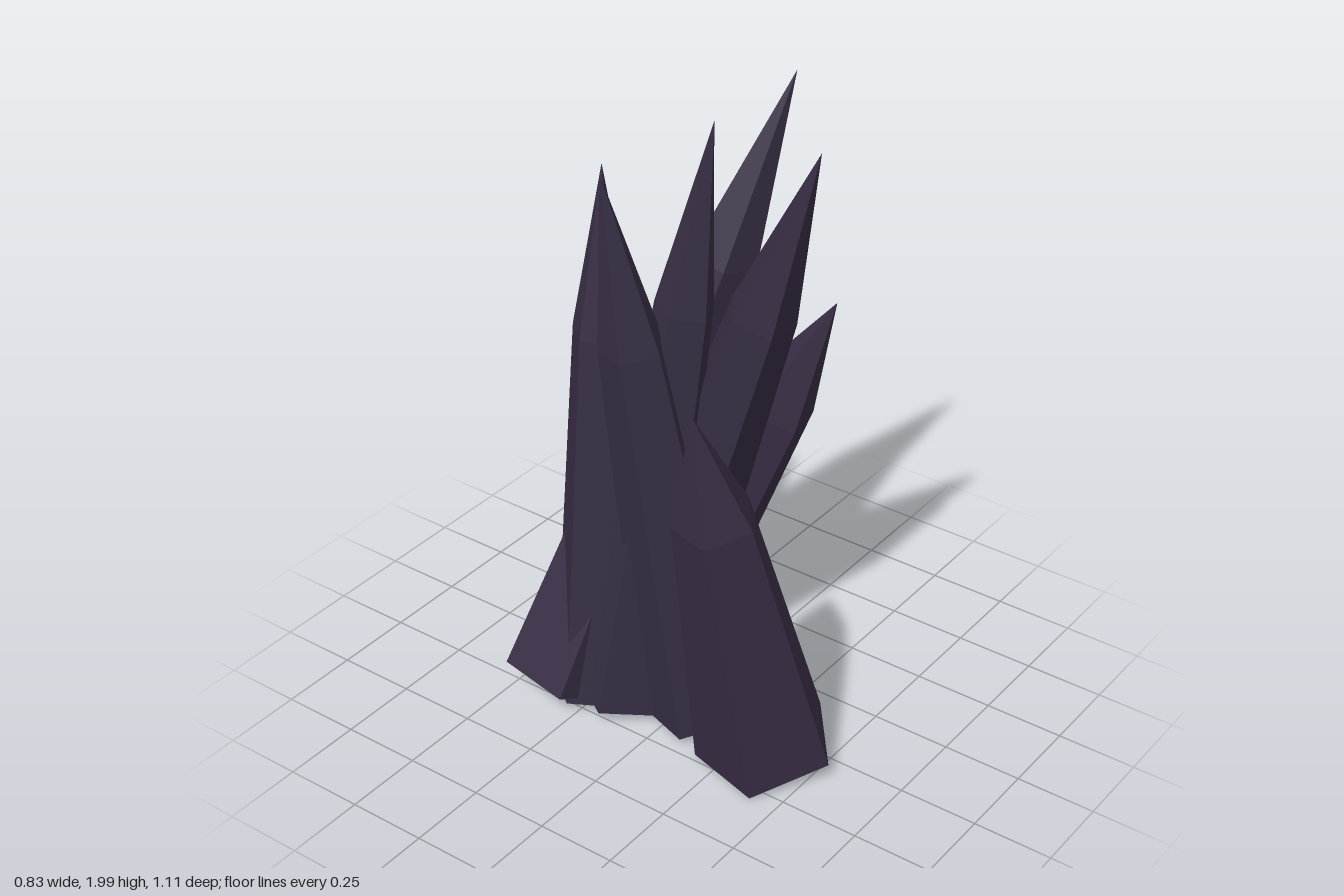
import * as THREE from 'three';

// Each crystal: name, base centre, tip, base radius, direction [x, z] of one corner
const CRYSTALS = [
  ['frontRightCrystal', [-0.10, 0.05, 0.335], [-0.39, 1.31, 0.27], 0.217, [0.05, 1]],
  ['leftLeaningCrystal', [-0.187, 0.06, -0.382], [0.408, 1.97, 0.05], 0.185, [-0.19, -0.135]],
  ['backLeftCrystal', [0.162, 0.088, -0.304], [0.28, 1.365, 0.29], 0.21, [-0.04, -0.2]],
  ['forwardLeaningCrystal', [0.06, 0.08, -0.26], [0.04, 1.945, 0.38], 0.182, [0.02, -1]],
  ['tallestCrystal', [-0.135, 0.05, -0.17], [-0.062, 2.0, 0.105], 0.155, [-1, 0.1]],
  ['rightCrystal', [-0.06, 0.05, 0.055], [-0.30, 1.88, -0.095], 0.172, [-0.95, 0.28]],
  ['backRightCrystal', [-0.125, 0.03, -0.265], [-0.11, 1.80, -0.24], 0.163, [-0.22, -1]],
];

// Five-sided shaft that narrows to a shoulder, then to a point
function crystalGeometry(length, radius, cornerAngle) {
  const profile = [
    new THREE.Vector2(0, 0),
    new THREE.Vector2(radius, 0),
    new THREE.Vector2(radius * 0.57, length * 0.705),
    new THREE.Vector2(0, length),
  ];
  const geometry = new THREE.LatheGeometry(profile, 5, cornerAngle).toNonIndexed();
  geometry.computeVertexNormals(); // flat facets
  return geometry;
}

export function createModel() {
  const group = new THREE.Group();
  group.name = 'crystalCluster';
  const darkPurple = new THREE.MeshStandardMaterial({ color: 0x382e45 });
  darkPurple.name = 'darkPurple';
  const up = new THREE.Vector3(0, 1, 0);

  for (const [name, base, tip, radius, corner] of CRYSTALS) {
    const start = new THREE.Vector3(...base);
    const axis = new THREE.Vector3(...tip).sub(start);
    const geometry = crystalGeometry(axis.length(), radius, Math.atan2(corner[0], corner[1]));
    const mesh = new THREE.Mesh(geometry, darkPurple);
    mesh.name = name;
    mesh.position.copy(start);
    mesh.quaternion.setFromUnitVectors(up, axis.normalize());
    group.add(mesh);
  }
  return group;
}
